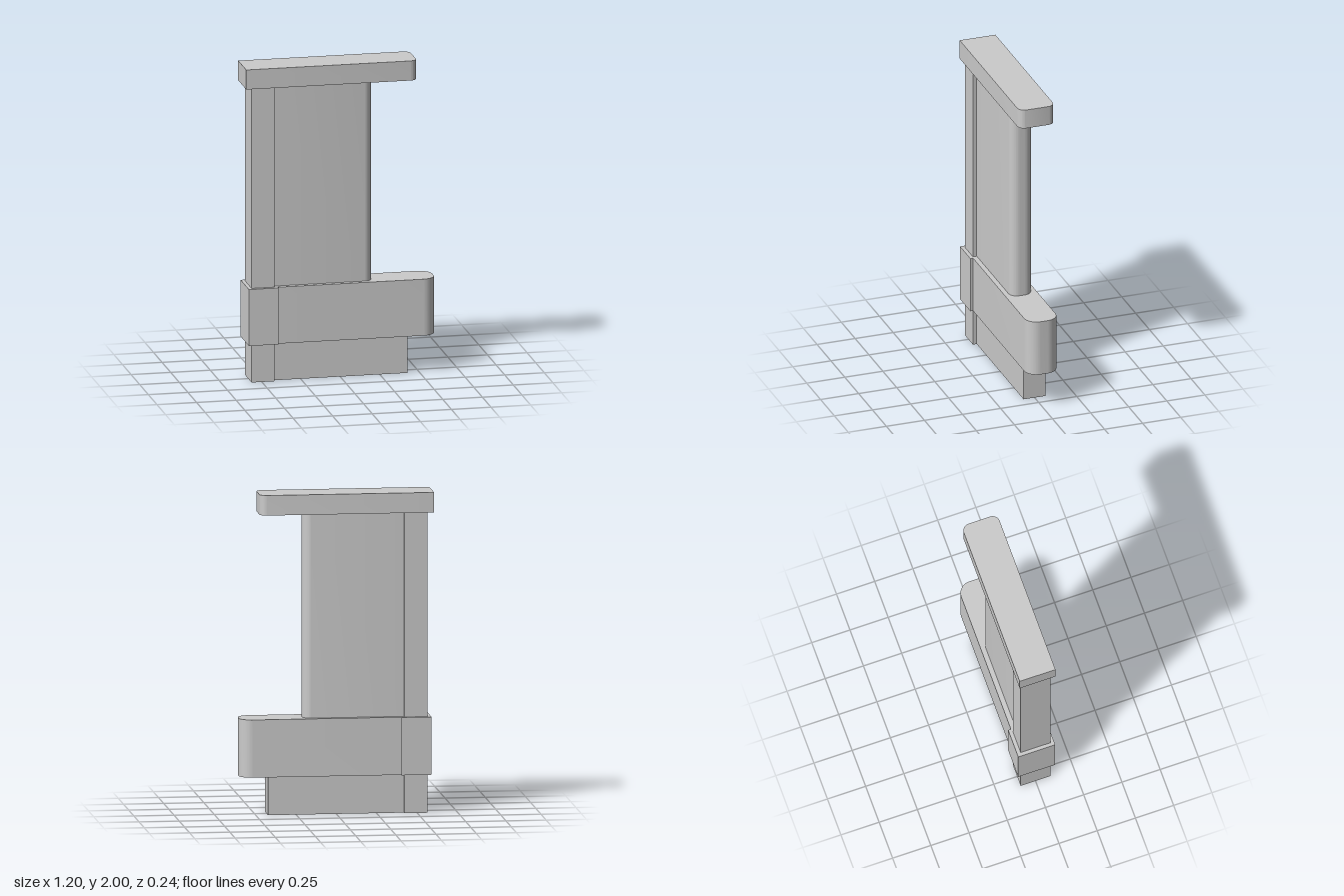
import * as THREE from 'three';
import { toCreasedNormals } from 'three/addons/utils/BufferGeometryUtils.js';

const material = new THREE.MeshStandardMaterial({ color: 0xcccccc });

// Upright slab from x0 to x1 and y0 to y1, its two +x corners rounded by r
function slab(name, x0, x1, y0, y1, halfDepth, r = 0) {
  const s = new THREE.Shape();
  s.moveTo(x0, -halfDepth);
  s.lineTo(x1 - r, -halfDepth);
  if (r > 0) s.absarc(x1 - r, -halfDepth + r, r, -Math.PI / 2, 0, false);
  else s.lineTo(x1, -halfDepth);
  s.lineTo(x1, halfDepth - r);
  if (r > 0) s.absarc(x1 - r, halfDepth - r, r, 0, Math.PI / 2, false);
  else s.lineTo(x1, halfDepth);
  s.lineTo(x0, halfDepth);
  s.closePath();
  let geometry = new THREE.ExtrudeGeometry(s, { depth: y1 - y0, bevelEnabled: false, curveSegments: 12 });
  geometry.rotateX(-Math.PI / 2).translate(0, y0, 0);
  geometry = toCreasedNormals(geometry, 0.6);
  const mesh = new THREE.Mesh(geometry, material);
  mesh.name = name;
  return mesh;
}

export function createModel() {
  const model = new THREE.Group();
  model.name = 'magazine';
  model.add(
    // Tall body with its thicker rear spine
    slab('rearSpine', -0.565, -0.42, 0, 1.875, 0.097),
    slab('body', -0.42, 0.205, 0.6, 1.875, 0.072, 0.055),
    // Lower neck
    slab('neck', -0.42, 0.425, 0, 0.24, 0.072),
    // Wide collar around the body
    slab('collarRear', -0.587, -0.4, 0.24, 0.6, 0.121),
    slab('collar', -0.4, 0.6, 0.24, 0.6, 0.103, 0.08),
    // End plate
    slab('endPlate', -0.603, 0.478, 1.875, 2, 0.117, 0.046),
  );
  return model;
}
